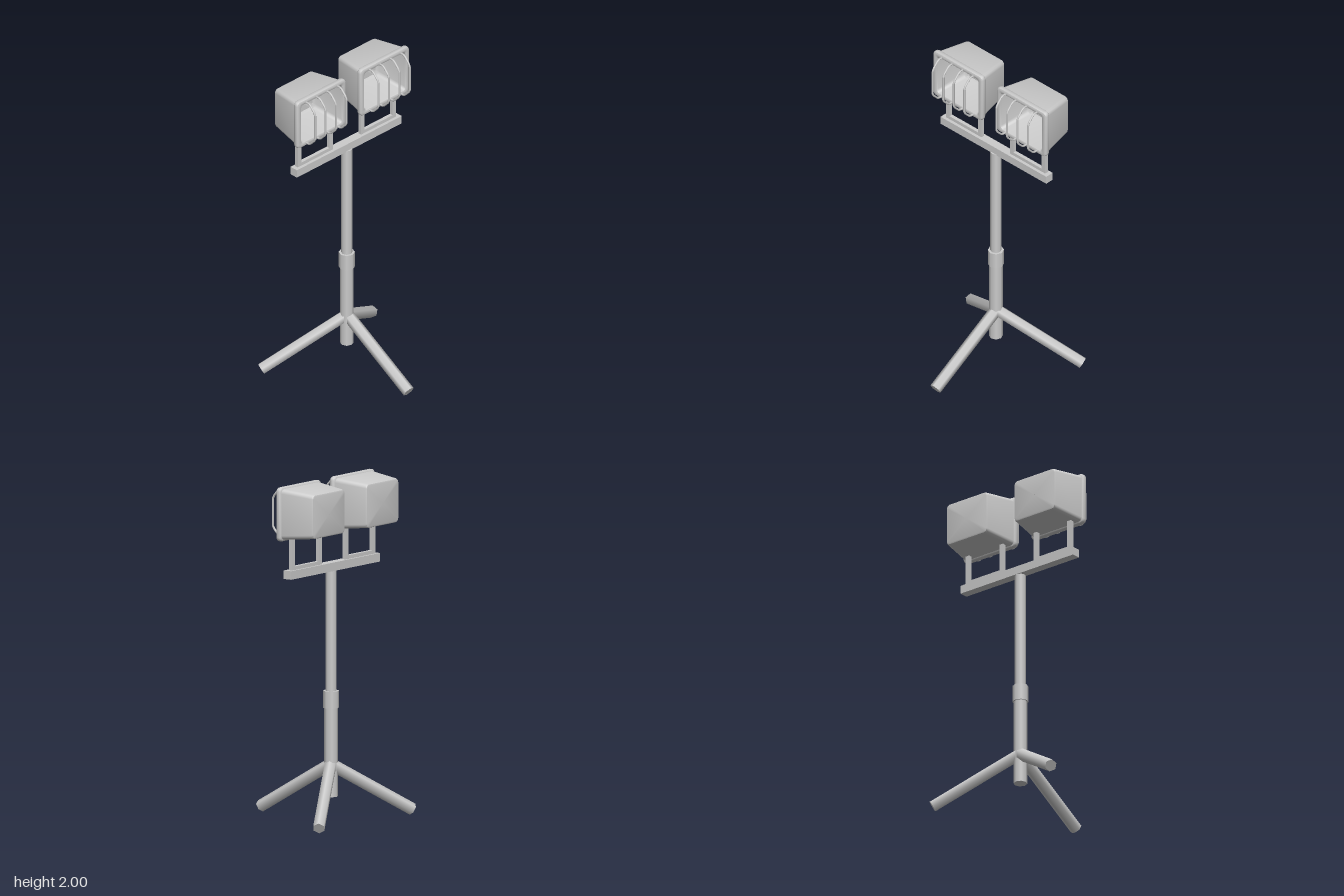
import * as THREE from 'three';
import { toCreasedNormals } from 'three/addons/utils/BufferGeometryUtils.js';

const material = new THREE.MeshStandardMaterial({ color: 0xcccccc });
const POLE_X = -0.122, MID_Z = 0.004;

function add(parent, name, geometry, x = 0, y = 0, z = 0) {
  const mesh = new THREE.Mesh(geometry, material);
  mesh.name = name;
  mesh.position.set(x, y, z);
  parent.add(mesh);
  return mesh;
}

// Upright round tube between two heights
function tube(parent, name, radius, y0, y1) {
  add(parent, name, new THREE.CylinderGeometry(radius, radius, y1 - y0, 8), POLE_X, (y0 + y1) / 2, MID_Z);
}

// Rounded rectangle loop in the yz plane
function loop([x, hz, hy, r], steps = 4) {
  const points = [];
  const corners = [[1, 1], [-1, 1], [-1, -1], [1, -1]];
  corners.forEach(([sz, sy], c) => {
    for (let i = 0; i <= steps; i++) {
      const a = (c + i / steps) * Math.PI / 2;
      points.push([x, sy * (hy - r) + r * Math.sin(a), sz * (hz - r) + r * Math.cos(a)]);
    }
  });
  return points;
}

// Skin a series of rounded rectangles
function loft(sections) {
  const loops = sections.map((s) => loop(s));
  const n = loops[0].length;
  const index = [];
  for (let s = 0; s < loops.length - 1; s++) {
    for (let i = 0; i < n; i++) {
      const a = s * n + i, b = s * n + (i + 1) % n;
      index.push(a, a + n, b, b, a + n, b + n);
    }
  }
  const geometry = new THREE.BufferGeometry();
  geometry.setAttribute('position', new THREE.Float32BufferAttribute(loops.flat(2), 3));
  geometry.setIndex(index);
  return toCreasedNormals(geometry, 0.7);
}

// Tapered shell: back, sides, rolled rim, then the hollow inside; [x, half z, half y, corner radius]
const housingSections = [
  [-0.305, 0.001, 0.001, 0.0005],
  [-0.305, 0.141, 0.118, 0.018],
  [-0.302, 0.149, 0.126, 0.022],
  [-0.293, 0.154, 0.13, 0.025],
  [-0.1, 0.186, 0.148, 0.025],
  [-0.097, 0.193, 0.155, 0.025],
  [-0.09, 0.197, 0.158, 0.025],
  [-0.075, 0.197, 0.158, 0.025],
  [-0.068, 0.193, 0.155, 0.022],
  [-0.065, 0.186, 0.148, 0.02],
  [-0.065, 0.172, 0.137, 0.02],
  [-0.068, 0.166, 0.131, 0.02],
  [-0.076, 0.163, 0.128, 0.02],
  [-0.26, 0.134, 0.104, 0.025],
  [-0.272, 0.122, 0.092, 0.025],
  [-0.272, 0.001, 0.001, 0.0005],
];

// One bent guard rod
function guardRod() {
  const path = new THREE.CurvePath();
  const p = [[-0.08, 0.138], [-0.045, 0.138], [-0.03, 0.13], [0, 0.098], [0.009, 0.08],
    [0.009, -0.08], [0, -0.098], [-0.03, -0.13], [-0.045, -0.138], [-0.08, -0.138]]
    .map(([x, y]) => new THREE.Vector3(x, y, 0));
  for (let i = 0; i < p.length - 1; i++) path.add(new THREE.LineCurve3(p[i], p[i + 1]));
  return new THREE.TubeGeometry(path, 60, 0.0065, 6);
}

function createLamp(side) {
  const lamp = new THREE.Group();
  lamp.name = side > 0 ? 'leftLamp' : 'rightLamp';
  lamp.position.set(0, 1.842, MID_Z + side * 0.254);
  add(lamp, 'lampHousing', loft(housingSections));
  for (let i = 0; i < 4; i++) add(lamp, 'guardRod', guardRod(), 0, 0, (i - 1.5) * 0.084);

  // U-shaped mounting bracket
  for (const s of [-1, 1]) {
    add(lamp, 'bracketUpright', new THREE.BoxGeometry(0.022, 0.2, 0.028), -0.131, -0.229, s * 0.127);
  }
  add(lamp, 'bracketBase', new THREE.BoxGeometry(0.022, 0.022, 0.28), -0.131, -0.317, 0);
  return lamp;
}

export function createModel() {
  const model = new THREE.Group();
  model.name = 'workLightStand';

  // Telescoping mast
  tube(model, 'lowerMast', 0.04, 0.14, 0.68);
  tube(model, 'mastCollar', 0.047, 0.66, 0.76);
  tube(model, 'upperMast', 0.033, 0.74, 1.47);
  add(model, 'crossbar', new THREE.BoxGeometry(0.054, 0.05, 0.842), -0.128, 1.49, MID_Z);

  // Three splayed legs
  const up = new THREE.Vector3(0, 1, 0);
  for (let i = 0; i < 3; i++) {
    const a = i * Math.PI * 2 / 3;
    const top = new THREE.Vector3(POLE_X, 0.33, 0);
    const foot = new THREE.Vector3(POLE_X + 0.512 * Math.cos(a), 0.034, 0.512 * Math.sin(a));
    const direction = foot.clone().sub(top);
    const leg = add(model, 'leg', new THREE.CylinderGeometry(0.036, 0.036, direction.length(), 6));
    leg.position.copy(top).add(foot).multiplyScalar(0.5);
    // Roll about the mast so every leg keeps the same facets
    leg.quaternion.setFromUnitVectors(up, direction.normalize());
    leg.rotateY(-a + Math.PI / 2);
  }

  model.add(createLamp(1), createLamp(-1));
  return model;
}
